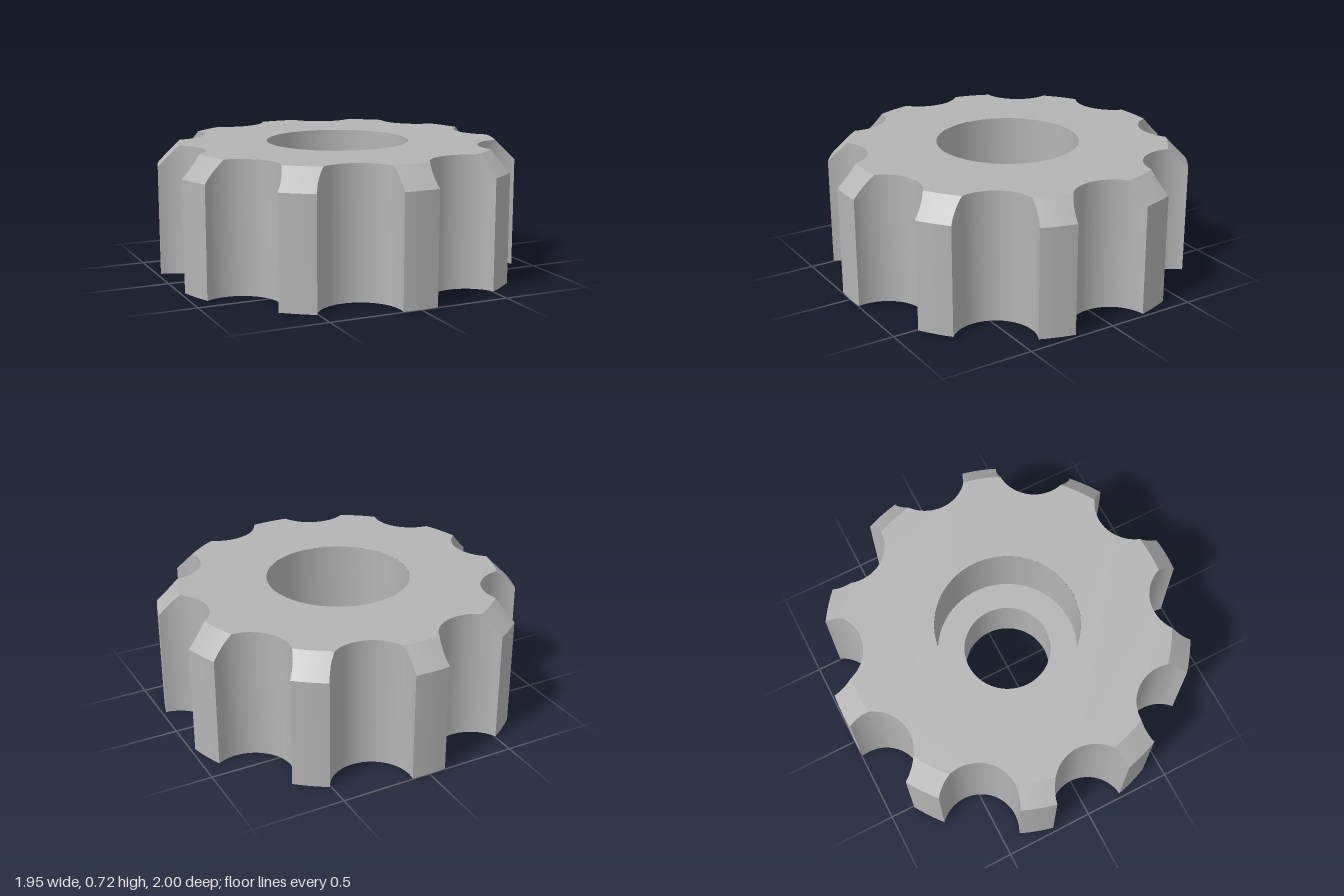
import * as THREE from 'three';

const TEETH = 10, STEP = (2 * Math.PI) / TEETH;
const HEIGHT = 0.72, RIM = 1, TOP_RIM = 0.885, CHAMFER_Y = HEIGHT - (RIM - TOP_RIM);
const C = 1, R = 0.216; // notch centre distance and radius
const BORE = 0.245, RECESS = 0.395, LEDGE_Y = 0.33;

// point at polar angle a (0 = front, growing towards +x)
const polar = (r, a, y) => new THREE.Vector3(r * Math.sin(a), y, r * Math.cos(a));
// notch arc: parameter b runs from edge to edge, 0 is the deepest spot
const notchR = (b) => Math.hypot(C - R * Math.cos(b), R * Math.sin(b));
const notchA = (b) => Math.atan2(R * Math.sin(b), C - R * Math.cos(b));
const notchB = (r) => Math.acos((C * C + R * R - r * r) / (2 * C * R));
const B_RIM = notchB(RIM), B_TOP = notchB(TOP_RIM);
const range = (a, b, n) => Array.from({ length: n + 1 }, (_, i) => a + ((b - a) * i) / n);

// surface through rows of points, each row left to right, rows bottom to top
function surface(rows) {
  const n = rows[0].length, index = [];
  for (let j = 0; j < rows.length - 1; j++) {
    for (let i = 0; i < n - 1; i++) {
      const a = j * n + i;
      index.push(a, a + 1, a + n, a + 1, a + n + 1, a + n);
    }
  }
  const g = new THREE.BufferGeometry().setFromPoints(rows.flat());
  g.setIndex(index);
  g.computeVertexNormals();
  return g;
}

// flat toothed face with a round hole
function face(radius, hole, flip) {
  const b = notchB(radius), pts = [];
  for (let k = 0; k < TEETH; k++) {
    const mid = k * STEP, half = STEP / 2 - notchA(b);
    for (const a of range(mid - half, mid + half, 6)) pts.push(polar(radius, a, 0));
    for (const t of range(-b, b, 28).slice(1, -1)) pts.push(polar(notchR(t), mid + STEP / 2 + notchA(t), 0));
  }
  const shape = new THREE.Shape(pts.map((p) => new THREE.Vector2(p.x, flip * p.z)));
  shape.holes.push(new THREE.Path().absarc(0, 0, hole, 0, Math.PI * 2, true));
  return new THREE.ShapeGeometry(shape, 72).rotateX((flip * Math.PI) / 2);
}

export function createModel() {
  const group = new THREE.Group();
  const grey = new THREE.MeshStandardMaterial({ color: 0xb4b4b4 });
  grey.name = 'grey';
  const add = (name, geometry) => {
    const mesh = new THREE.Mesh(geometry, grey);
    mesh.name = name;
    group.add(mesh);
  };

  add('topFace', face(TOP_RIM, RECESS, -1).translate(0, HEIGHT, 0));
  add('bottomFace', face(RIM, BORE, 1));

  // stepped bore, one lathe per face so its edges stay sharp
  const bore = [[RECESS, HEIGHT], [RECESS, LEDGE_Y], [BORE, LEDGE_Y], [BORE, 0]].map((p) => new THREE.Vector2(...p));
  ['recessWall', 'recessLedge', 'boreWall'].forEach((name, i) =>
    add(name, new THREE.LatheGeometry([bore[i], bore[i + 1]], 72)));

  const arc = [
    ...range(-B_RIM, -B_TOP, 6),
    ...range(-B_TOP, B_TOP, 28).slice(1, -1),
    ...range(B_TOP, B_RIM, 6),
  ];
  for (let k = 0; k < TEETH; k++) {
    const mid = k * STEP;
    const row = (b, y) => {
      const half = STEP / 2 - notchA(b);
      return range(mid - half, mid + half, 6).map((a) => polar(notchR(b), a, y));
    };
    // outer wall and bevel of one tooth
    add('toothWall', surface([row(B_RIM, 0), row(B_RIM, CHAMFER_Y)]));
    add('toothBevel', surface(range(B_RIM, B_TOP, 6).map((b) => row(b, CHAMFER_Y + RIM - notchR(b)))));
    // scooped wall beside it, its upper edge following the bevel
    const wall = (y) => arc.map((b) => polar(notchR(b), mid + STEP / 2 + notchA(b), y(notchR(b))));
    add('notchWall', surface([wall(() => 0), wall((r) => Math.min(HEIGHT, CHAMFER_Y + RIM - r))]));
  }
  return group;
}
